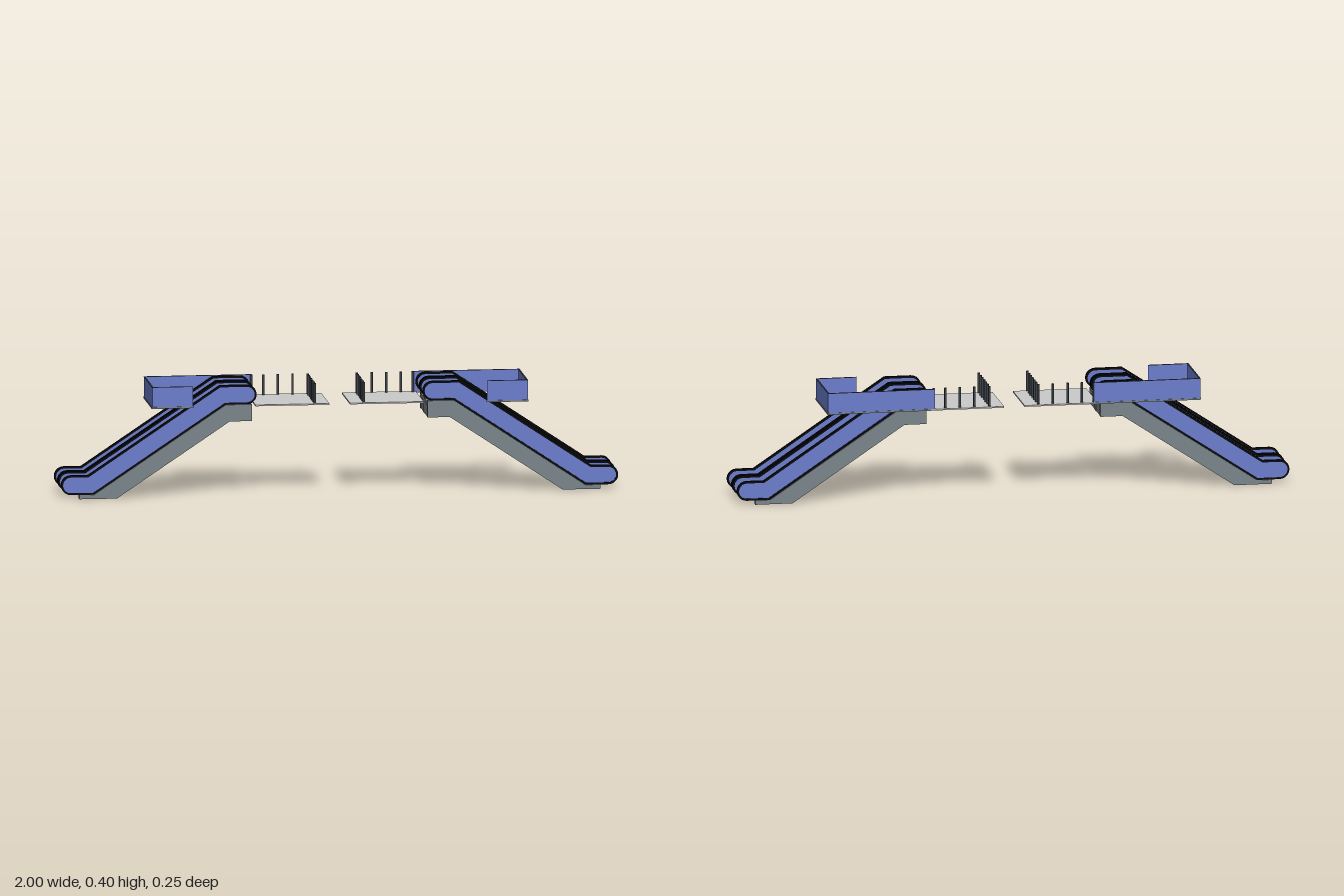
import * as THREE from 'three';
import { mergeGeometries } from 'three/addons/utils/BufferGeometryUtils.js';

const mat = (name, color, side = THREE.FrontSide) => {
  const m = new THREE.MeshStandardMaterial({ color, side });
  m.name = name;
  return m;
};

// Centre line of a balustrade: both ends and the two bends
const LOW = [0.965, 0.05], BEND_LOW = [0.893, 0.05], BEND_HIGH = [0.42, 0.365], HIGH = [0.333, 0.365];
const MITRE = 0.303;

// Outline at distance r round the centre line, with half-round ends
function outline(s, r) {
  const pts = [];
  const arc = ([x, y], start) => {
    for (let i = 0; i <= 10; i++) {
      const a = start + (Math.PI * i) / 10;
      pts.push(new THREE.Vector2(s * (x + r * Math.cos(a)), y + r * Math.sin(a)));
    }
  };
  const bend = ([x, y], k) => pts.push(new THREE.Vector2(s * (x + k * MITRE * r), y + k * r));
  arc(LOW, -Math.PI / 2);
  bend(BEND_LOW, 1);
  bend(BEND_HIGH, 1);
  arc(HIGH, Math.PI / 2);
  bend(BEND_HIGH, -1);
  bend(BEND_LOW, -1);
  return pts;
}

// Extrusion of a side profile, centred on z
function slab(shape, depth) {
  return new THREE.ExtrudeGeometry(shape, { depth, bevelEnabled: false }).translate(0, 0, -depth / 2);
}

export function createModel() {
  const model = new THREE.Group();
  model.name = 'escalators';
  const blue = mat('blue panel', 0x6c7dcc);
  const black = mat('black rubber', 0x0a0b0d);
  const grey = mat('grey cladding', 0x7a848a);
  const stepGrey = mat('step metal', 0x68675f);
  const groove = mat('step groove', 0x3c3c38);
  const floor = mat('light floor', 0xcacaca);
  const dark = mat('dark post', 0x3c4148);

  const add = (parent, name, geo, material, x = 0, y = 0, z = 0) => {
    const mesh = new THREE.Mesh(geo, material);
    mesh.name = name;
    mesh.position.set(x, y, z);
    parent.add(mesh);
    return mesh;
  };
  const box = (parent, name, material, x0, x1, y0, y1, z0, z1) =>
    add(parent, name, new THREE.BoxGeometry(Math.abs(x1 - x0), y1 - y0, z1 - z0), material,
      (x0 + x1) / 2, (y0 + y1) / 2, (z0 + z1) / 2);

  function escalatorPair(s) {
    const g = new THREE.Group();
    g.name = s > 0 ? 'leftEscalatorPair' : 'rightEscalatorPair';
    g.position.z = 0.004;

    // Sloping side beams
    const beam = new THREE.Shape([
      [0.935, 0], [0.8, 0], [0.395, 0.27], [0.315, 0.27],
      [0.315, 0.33], [0.409, 0.33], [0.882, 0.015], [0.935, 0.015],
    ].map(([x, y]) => new THREE.Vector2(s * x, y)));
    for (const [z, w] of [[-0.1, 0.02], [0, 0.04], [0.1, 0.02]]) add(g, 'sideBeam', slab(beam, w), grey, 0, 0, z);

    // Upper machine box
    box(g, 'machineBox', grey, s * 0.316, s * 0.393, 0.271, 0.312, -0.0905, 0.0905);

    // Blue balustrade panels framed by looped handrails
    const panel = new THREE.Shape(outline(s, 0.029));
    const rail = new THREE.Shape(outline(s, 0.035));
    rail.holes.push(new THREE.Path(outline(s, 0.028)));
    for (const z of [-0.1, -0.011, 0.011, 0.1]) {
      add(g, 'balustradePanel', slab(panel, 0.006), blue, 0, 0, z);
      add(g, 'handrail', slab(rail, 0.012), black, 0, 0, z);
    }

    // Moving steps: a folded strip with a dark line on each nose
    const n = 23, x0 = 0.885, y0 = 0.008, dx = 0.475 / n, dy = 0.314 / n;
    const top = [], noses = [];
    for (let i = 0; i < n; i++) {
      const x = x0 - i * dx, y = y0 + i * dy;
      top.push([x, y], [x, y + dy]);
      noses.push(new THREE.BoxGeometry(0.003, 0.0025, 0.07).translate(s * (x - 0.001), y + dy - 0.0007, 0));
    }
    top.push([0.36, y0 + n * dy]);
    const under = top.map(([x, y]) => [x - 0.006, y - 0.008]).reverse();
    const strip = new THREE.Shape([...top, ...under].map(([x, y]) => new THREE.Vector2(s * x, y)));
    const noseGeo = mergeGeometries(noses);
    for (const z of [-0.055, 0.055]) {
      add(g, 'steps', slab(strip, 0.07), stepGrey, 0, 0, z);
      add(g, 'stepNoses', noseGeo, groove, 0, 0, z);
      box(g, 'combPlate', grey, s * 0.315, s * 0.362, 0.312, 0.324, z - 0.035, z + 0.035);
    }
    return g;
  }

  function landing(s) {
    const g = new THREE.Group();
    g.name = s > 0 ? 'leftLanding' : 'rightLanding';
    box(g, 'landingFloor', floor, s * 0.037, s * 0.302, 0.322, 0.327, -0.124, 0.109);

    // Posts along the inner edge and the back
    const spots = [];
    for (let i = 0; i < 7; i++) spots.push([0.088, -0.11 + i * 0.0355]);
    for (const x of [0.142, 0.195, 0.247, 0.29]) spots.push([x, -0.11]);
    const post = new THREE.CylinderGeometry(0.0045, 0.0045, 0.073, 10);
    for (const [x, z] of spots) add(g, 'post', post, dark, s * x, 0.3635, z);

    // Guard panels round the stairwell: back, end and short front return
    const runs = [
      [0.29, 0.672, -0.12, -0.12], [0.672, 0.672, -0.12, 0.118], [0.53, 0.672, 0.118, 0.118],
    ];
    for (const [xa, xb, za, zb] of runs) {
      const wall = (name, m, t, lo, hi) =>
        box(g, name, m, s * (xa - t), s * (xb + t), lo, hi, za - t, zb + t);
      wall('guardPanel', blue, 0.002, 0.328, 0.398);
      wall('guardBase', grey, 0.004, 0.322, 0.328);
      wall('guardCap', dark, 0.0025, 0.398, 0.4);
    }
    return g;
  }

  for (const s of [1, -1]) model.add(escalatorPair(s), landing(s));
  return model;
}
